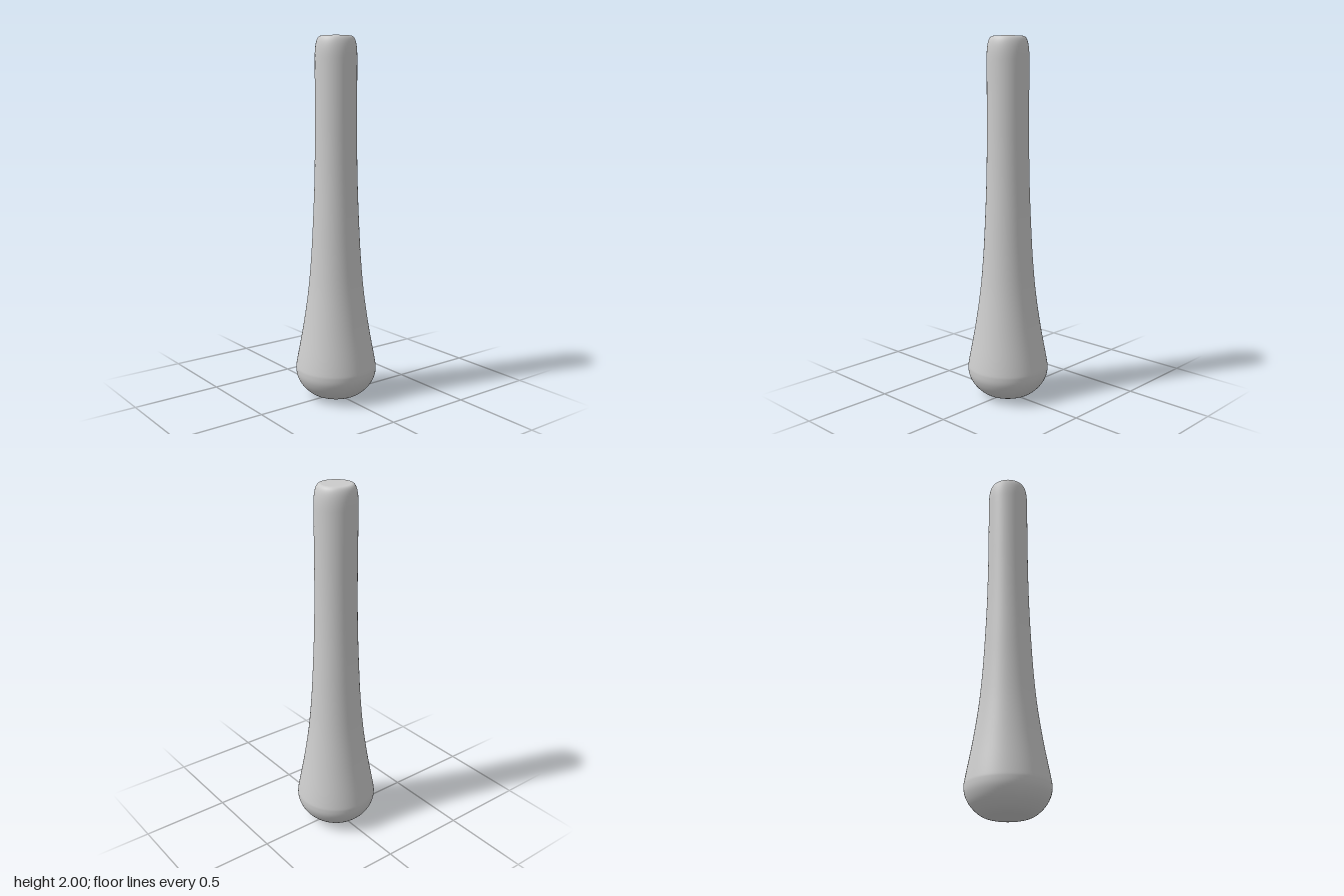
import * as THREE from 'three';

const SIDES = 64;
const v = (x, y) => new THREE.Vector2(x, y);

export function createModel() {
  const group = new THREE.Group();
  group.name = 'pestle';
  const material = new THREE.MeshStandardMaterial({ color: 0xcccccc });

  const add = (name, geometry) => {
    const mesh = new THREE.Mesh(geometry, material);
    mesh.name = name;
    group.add(mesh);
    return mesh;
  };

  // Rounded grinding head flowing into the slim shaft
  const flare = new THREE.SplineCurve([
    v(0, 0), v(0.08, 0.004), v(0.14, 0.022), v(0.19, 0.066), v(0.218, 0.115),
    v(0.226, 0.16), v(0.22, 0.21), v(0.185, 0.4), v(0.156, 0.6), v(0.138, 0.8),
    v(0.127, 1.0), v(0.119, 1.2), v(0.115, 1.4), v(0.114, 1.6), v(0.114, 1.88),
  ]).getPoints(70);
  flare[0].x = 0;

  // Rounded shoulder at the top of the handle
  const shoulder = new THREE.CubicBezierCurve(
    v(0.114, 1.88), v(0.114, 1.95), v(0.106, 2), v(0.08, 2),
  ).getPoints(12).slice(1);

  add('body', new THREE.LatheGeometry([...flare, ...shoulder], SIDES));

  // Flat end of the handle
  const cap = add('handleEnd', new THREE.CircleGeometry(0.08, SIDES));
  cap.rotation.x = -Math.PI / 2;
  cap.position.y = 2;

  return group;
}
